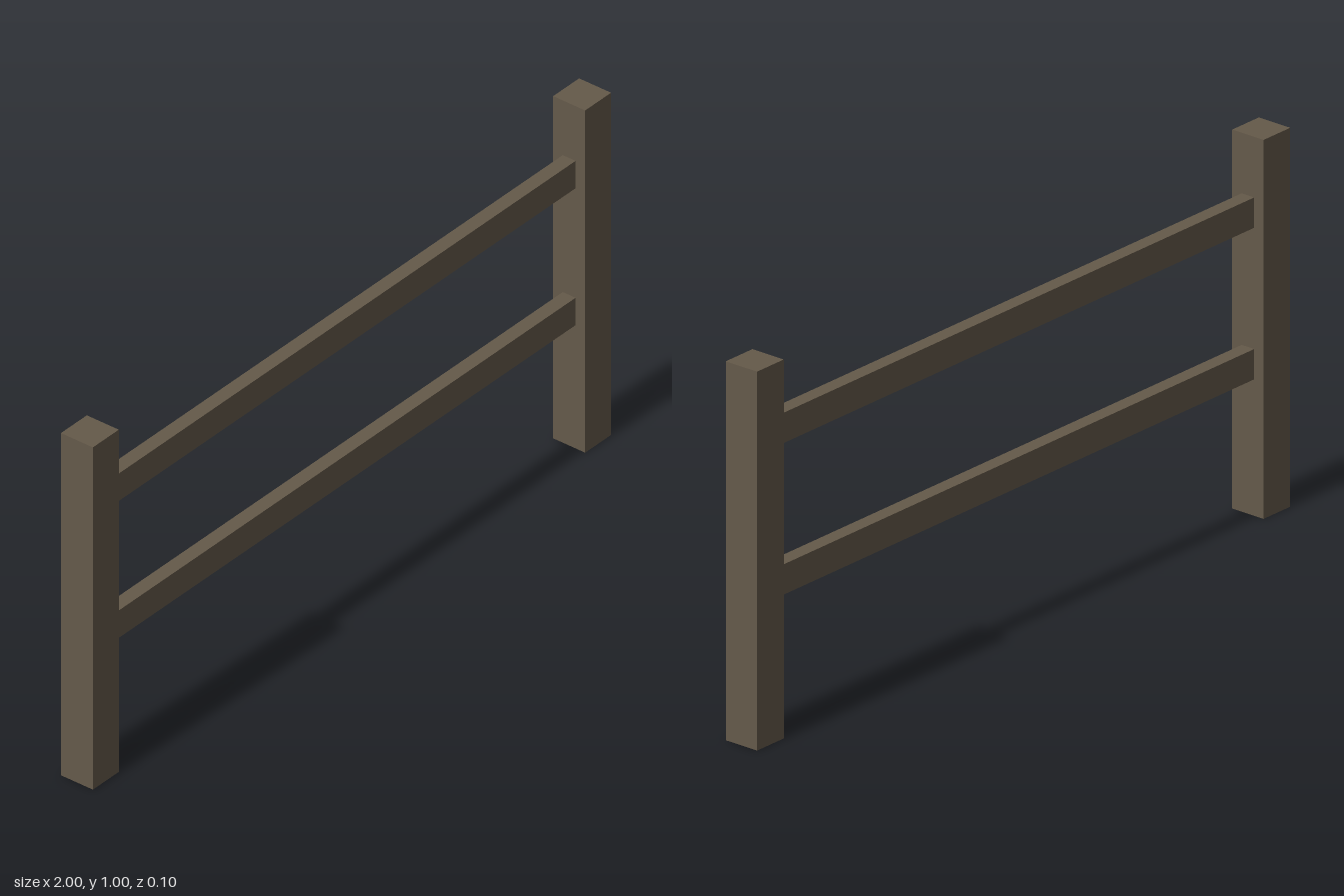
import * as THREE from 'three';

export function createModel() {
  const group = new THREE.Group();
  group.name = 'fence';
  const wood = new THREE.MeshStandardMaterial({ color: 0x655a4a });
  wood.name = 'weathered wood';

  const addBeam = (name, size, position) => {
    const beam = new THREE.Mesh(new THREE.BoxGeometry(...size), wood);
    beam.name = name;
    beam.position.set(...position);
    group.add(beam);
  };

  // Square posts at both ends
  for (const [name, side] of [['leftPost', 1], ['rightPost', -1]]) {
    addBeam(name, [0.1, 1, 0.1], [side * 0.95, 0.5, 0]);
  }

  // Thin horizontal rails between the posts
  for (const [name, y] of [['lowerRail', 0.4], ['upperRail', 0.8]]) {
    addBeam(name, [1.8, 0.08, 0.04], [0, y, 0]);
  }

  return group;
}
